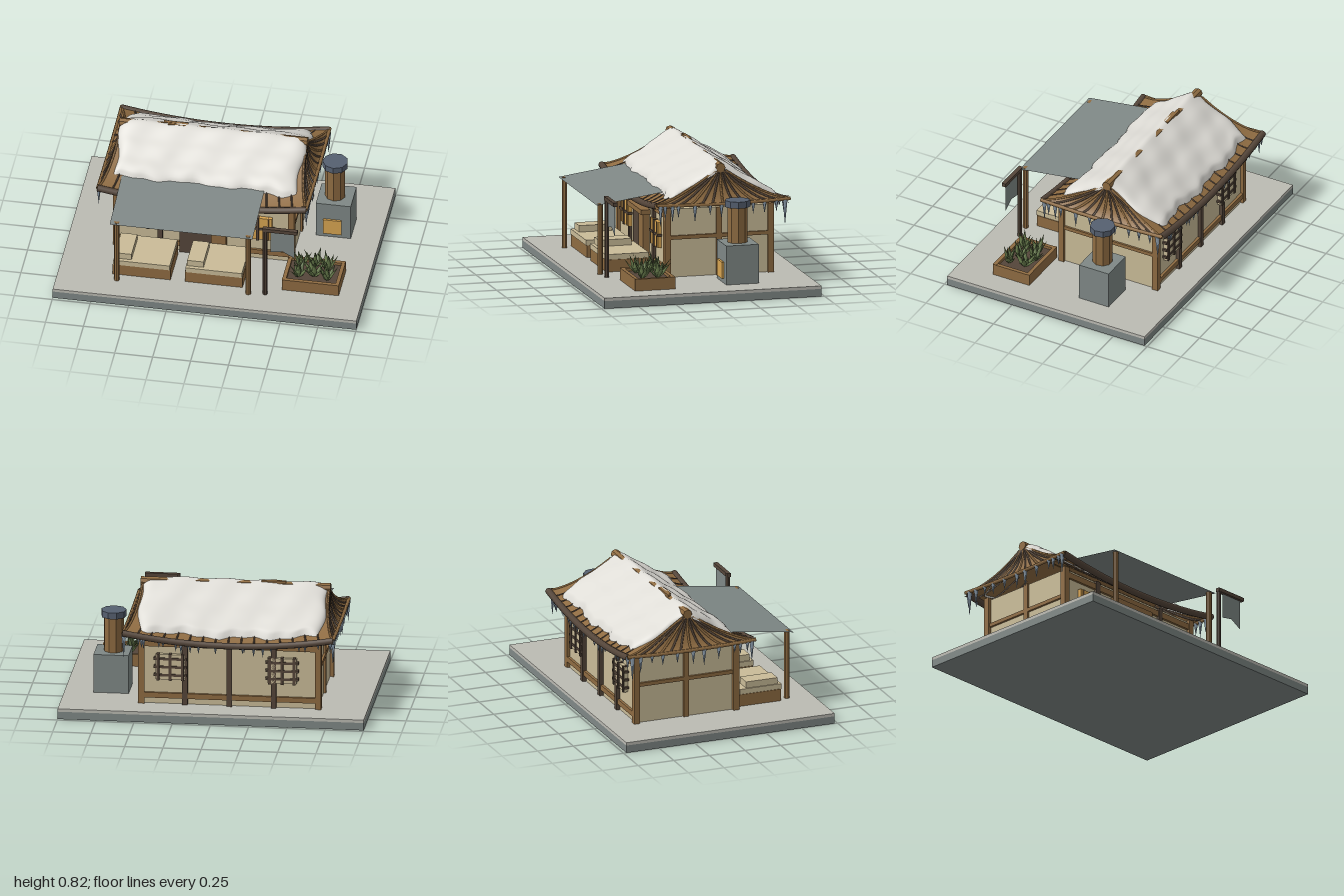
import * as THREE from 'three';

const material = (name, color, side = THREE.FrontSide) => {
  const m = new THREE.MeshStandardMaterial({ color, side });
  m.name = name;
  return m;
};

export function createModel() {
  const model = new THREE.Group();
  model.name = 'snowyHut';
  const D = THREE.DoubleSide;
  const stone = material('stoneGrey', 0x7f8886, D), paving = material('pavingGrey', 0xbcbbb3);
  const cream = material('plasterCream', 0xcabc98), wood = material('warmWood', 0x8f6c42, D);
  const dark = material('darkWood', 0x55463a), amber = material('amberGlow', 0xd8a552);
  const snow = material('snowWhite', 0xdedcd6, D), green = material('leafGreen', 0x687c4c);
  const ice = material('iceBlue', 0x8fa0b0), iron = material('ironBlue', 0x566070);

  let seed = 7;
  const rand = (a = 0, b = 1) => {
    seed = (seed * 16807) % 2147483647;
    return a + (b - a) * (seed / 2147483647);
  };
  const add = (name, geometry, mat, parent = model) => {
    const m = new THREE.Mesh(geometry, mat);
    m.name = name;
    parent.add(m);
    return m;
  };
  const box = (name, mat, x0, x1, y0, y1, z0, z1) => {
    const m = add(name, new THREE.BoxGeometry(x1 - x0, y1 - y0, z1 - z0), mat);
    m.position.set((x0 + x1) / 2, (y0 + y1) / 2, (z0 + z1) / 2);
    return m;
  };
  const cyl = (name, mat, r, x, y0, y1, z, sides = 8) => {
    const m = add(name, new THREE.CylinderGeometry(r, r, y1 - y0, sides).toNonIndexed(), mat);
    m.geometry.computeVertexNormals();
    m.position.set(x, (y0 + y1) / 2, z);
    return m;
  };
  const tube = (name, mat, points, r, sides = 6) =>
    add(name, new THREE.TubeGeometry(new THREE.CatmullRomCurve3(points), points.length * 2, r, sides), mat);
  // Surface from fn(u, v) over the unit square
  const surface = (fn, nu, nv) => {
    const pos = [], idx = [];
    for (let j = 0; j <= nv; j++) for (let i = 0; i <= nu; i++) {
      pos.push(...fn(i / nu, j / nv).toArray());
      if (i < nu && j < nv) {
        const a = j * (nu + 1) + i, b = a + nu + 1;
        idx.push(a, b, a + 1, b, b + 1, a + 1);
      }
    }
    const g = new THREE.BufferGeometry();
    g.setAttribute('position', new THREE.Float32BufferAttribute(pos, 3));
    g.setIndex(idx);
    g.computeVertexNormals();
    return g;
  };

  // Base slab
  box('baseSlab', stone, -1, 1, 0, 0.05, -0.73, 0.73);
  box('pavingSlab', paving, -1, 1, 0.05, 0.07, -0.73, 0.73);

  // Walls and timber frame
  const CX = -0.1, CZ = -0.185;
  box('walls', cream, -0.675, 0.475, 0.07, 0.52, -0.53, 0.165);
  for (const x of [-0.68, 0.475]) for (const z of [-0.53, 0.165])
    box('cornerPost', wood, x - 0.02, x + 0.02, 0.07, 0.53, z - 0.02, z + 0.02);
  for (const x of [-0.39, -0.1, 0.19]) box('backPost', dark, x - 0.017, x + 0.017, 0.07, 0.52, -0.555, -0.53);
  for (const x of [-0.39, 0.19]) box('frontPost', dark, x - 0.017, x + 0.017, 0.07, 0.52, 0.165, 0.185);
  for (const [z0, z1] of [[-0.548, -0.53], [0.165, 0.18]]) {
    box('lowRail', wood, -0.68, 0.475, 0.11, 0.145, z0, z1);
    box('topRail', wood, -0.68, 0.475, 0.46, 0.5, z0, z1);
  }
  for (const [x0, x1] of [[-0.69, -0.675], [0.475, 0.488]]) {
    box('sideRail', wood, x0, x1, 0.32, 0.345, -0.53, 0.165);
    box('sideStud', wood, x0, x1, 0.07, 0.52, -0.2, -0.165);
  }

  // Windows: lit panes in front, barred ones behind
  const windowAt = (x, z, dir, lit) => {
    const slab = (name, mat, x0, x1, y0, y1, d) =>
      box(name, mat, x + x0, x + x1, y0, y1, Math.min(z, z + dir * d), Math.max(z, z + dir * d));
    slab('windowPane', lit ? amber : cream, -0.095, 0.095, 0.24, 0.41, 0.025);
    for (const dx of lit ? [0] : [-0.08, 0, 0.08])
      slab('windowUpright', dark, dx - 0.009, dx + 0.009, 0.235, 0.415, 0.034);
    for (const y of lit ? [0.325] : [0.27, 0.325, 0.38])
      slab('windowBar', dark, -0.108, 0.108, y - 0.008, y + 0.008, 0.03);
    if (lit) for (const dx of [-0.07, 0.07])
      slab('windowMuntin', wood, dx - 0.004, dx + 0.004, 0.24, 0.41, 0.03);
  };
  windowAt(-0.465, 0.167, 1, true);
  windowAt(0.255, 0.167, 1, true);
  windowAt(-0.445, -0.53, -1, false);
  windowAt(0.285, -0.53, -1, false);

  // Doorway with sliding door
  box('doorway', dark, -0.26, -0.04, 0.07, 0.41, 0.16, 0.19);
  box('slidingDoor', wood, -0.05, 0.05, 0.07, 0.41, 0.16, 0.21);
  box('doorLintel', wood, -0.275, 0.07, 0.405, 0.437, 0.16, 0.228);

  // Roof: sagging slopes and fanned ends; v runs from ridge to eave
  const profile = v => 0.56 + 0.23 * Math.pow(1 - v, 1.4);
  const slopeY = (u, v) => profile(v) - 0.05 * (1 - u * u) * v * v + 0.012 * v * v * u * u;
  const slope = (u, v, side) => new THREE.Vector3(
    CX + u * (0.61 + 0.075 * v * v), slopeY(u, v), CZ + side * 0.45 * v);
  const end = (s, v, side) => new THREE.Vector3(
    CX + side * (0.61 + 0.075 * v * v), profile(v) + 0.012 * v * v * s * s, CZ + s * 0.45 * v);
  const steps = n => Array.from({ length: n + 1 }, (_, i) => i / n);
  for (const side of [-1, 1]) {
    add('roofSlope', surface((a, v) => slope((a * 2 - 1) * side, v, side), 24, 10), wood);
    add('roofEnd', surface((a, v) => end((1 - a * 2) * side, v, side), 16, 10), wood);
    for (const a of steps(16)) tube('slopeBatten', dark,
      steps(5).map(v => slope(a * 2 - 1, 0.4 + 0.6 * v, side)), 0.006, 4);
    for (const a of steps(12)) tube('endBatten', a % 0.25 ? dark : wood,
      steps(6).map(v => end(a * 2 - 1, 0.08 + 0.92 * v, side)), 0.008, 4);
    tube('eaveLog', dark, steps(10).map(a => slope((a * 2 - 1) * 1.01, 0.98, side).setY(
      slopeY(a * 2 - 1, 1) - 0.004)), 0.022, 8);
    tube('endEave', wood, steps(8).map(a => end(a * 2 - 1, 1, side)), 0.012);
  }
  const ridge = cyl('ridgeLog', wood, 0.031, CX, -0.62, 0.62, CZ);
  ridge.rotation.z = Math.PI / 2;
  ridge.position.y = 0.786;

  // Snow blanket with soft uneven rim
  const snowPoint = (a, b) => {
    const p = a * 2 - 1, q = b * 2 - 1;
    const wob = Math.sin(p * 9) * 0.012 + Math.sin(p * 23 + q) * 0.007;
    const d = q * ((q > 0 ? 0.34 : 0.385) + wob);
    const v = Math.abs(d) / 0.45;
    const x = p * (0.61 + 0.012 * Math.sin(q * 8) - 0.02 * q * q);
    const rim = Math.pow(Math.max(0, 1 - p ** 16), 0.5) * Math.pow(Math.max(0, 1 - q ** 14), 0.5);
    const round = Math.sqrt(v * v + 0.006) - v;
    const y = slopeY(x / 0.66, v) - round * 0.2 - 0.008
      + rim * (0.054 + 0.004 * Math.sin(p * 14 + q * 5) + 0.003 * Math.sin(q * 17));
    return new THREE.Vector3(CX + x, y, CZ + d);
  };
  const ease = t => 0.5 - 0.5 * Math.cos(Math.PI * t);
  add('snowBlanket', surface((a, b) => snowPoint(ease(a), b), 64, 48), snow);
  box('bareRidgePatch', wood, -0.43, -0.27, 0.795, 0.824, -0.205, -0.185);
  box('bareRidgePatch', wood, -0.4, -0.28, 0.79, 0.822, -0.185, -0.17);

  // Icicles along the eaves
  const icicle = (p, len) => {
    const m = add('icicle', new THREE.ConeGeometry(0.012 + len * 0.03, len, 5), ice);
    m.rotation.x = Math.PI;
    m.position.set(p.x, p.y - len / 2 - 0.005, p.z);
  };
  for (let i = 0; i < 24; i++) icicle(slope(rand(-0.98, 0.98), 0.98, -1), rand(0.04, 0.09));
  for (const side of [-1, 1]) {
    for (const s of [-0.8, -0.62, -0.45, -0.22, 0.03, 0.2, 0.43, 0.68, 0.77, 0.88])
      icicle(end(s, 0.99, side), rand(0.05, 0.12));
    icicle(end(-0.93, 0.99, side), 0.17);
    icicle(end(0.95, 0.99, side), 0.14);
  }

  // Awning on two poles
  add('awning', surface((a, b) => new THREE.Vector3(
    -0.65 + 0.94 * a, 0.597 - 0.065 * b, 0.135 + 0.45 * b), 1, 1), stone);
  for (const x of [-0.608, 0.258]) cyl('awningPole', wood, 0.018, x, 0.07, 0.537, 0.555);

  // Day beds with pillows
  for (const x of [-0.645, -0.17]) {
    box('bedBase', wood, x, x + 0.38, 0.07, 0.15, 0.21, 0.5);
    box('mattress', cream, x + 0.004, x + 0.376, 0.15, 0.185, 0.214, 0.505);
    box('pillow', cream, x + 0.012, x + 0.12, 0.185, 0.228, 0.26, 0.48);
  }

  // Hanging banner on a post
  cyl('bannerPost', dark, 0.015, 0.365, 0.07, 0.6, 0.54);
  box('bannerArm', dark, 0.35, 0.58, 0.58, 0.605, 0.528, 0.556);
  const cloth = new THREE.Shape([[0.4, 0.58], [0.56, 0.58], [0.56, 0.38], [0.48, 0.425], [0.4, 0.41]]
    .map(([x, y]) => new THREE.Vector2(x, y)));
  add('bannerCloth', new THREE.ShapeGeometry(cloth), stone).position.z = 0.54;

  // Stove with chimney
  box('stove', stone, 0.58, 0.81, 0.07, 0.328, -0.36, -0.142);
  box('stoveDoor', amber, 0.63, 0.75, 0.1, 0.21, -0.142, -0.128);
  cyl('chimney', wood, 0.066, 0.69, 0.328, 0.57, -0.25, 9);
  cyl('chimneyCap', iron, 0.083, 0.69, 0.562, 0.605, -0.25, 9);

  // Planter with leafy clumps
  for (const z of [0.21, 0.455]) box('planterLong', wood, 0.465, 0.84, 0.07, 0.15, z, z + 0.025);
  for (const x of [0.465, 0.815]) box('planterShort', wood, x, x + 0.025, 0.07, 0.148, 0.21, 0.48);
  box('soil', dark, 0.48, 0.82, 0.07, 0.13, 0.22, 0.465);
  const leafShape = new THREE.ConeGeometry(0.024, 0.09, 4).translate(0, 0.085, 0);
  const leafFoot = new THREE.ConeGeometry(0.024, 0.04, 4).rotateX(Math.PI).translate(0, 0.02, 0);
  for (const [x, z] of [[0.56, 0.3], [0.56, 0.4], [0.65, 0.28], [0.66, 0.38], [0.74, 0.3], [0.75, 0.41]]) {
    const clump = new THREE.Group();
    clump.name = 'leafClump';
    clump.position.set(x, 0.125, z);
    model.add(clump);
    for (let i = 0; i < 8; i++) {
      const leaf = new THREE.Group();
      leaf.name = 'leaf';
      add('leafTip', leafShape, green, leaf);
      add('leafStem', leafFoot, green, leaf);
      leaf.scale.set(0.8, rand(0.8, 1.12), 0.3);
      leaf.rotation.set(i < 2 ? 0.1 : rand(0.35, 0.85), i * 0.8 + rand(0, 0.5), 0, 'YXZ');
      clump.add(leaf);
    }
  }
  return model;
}
